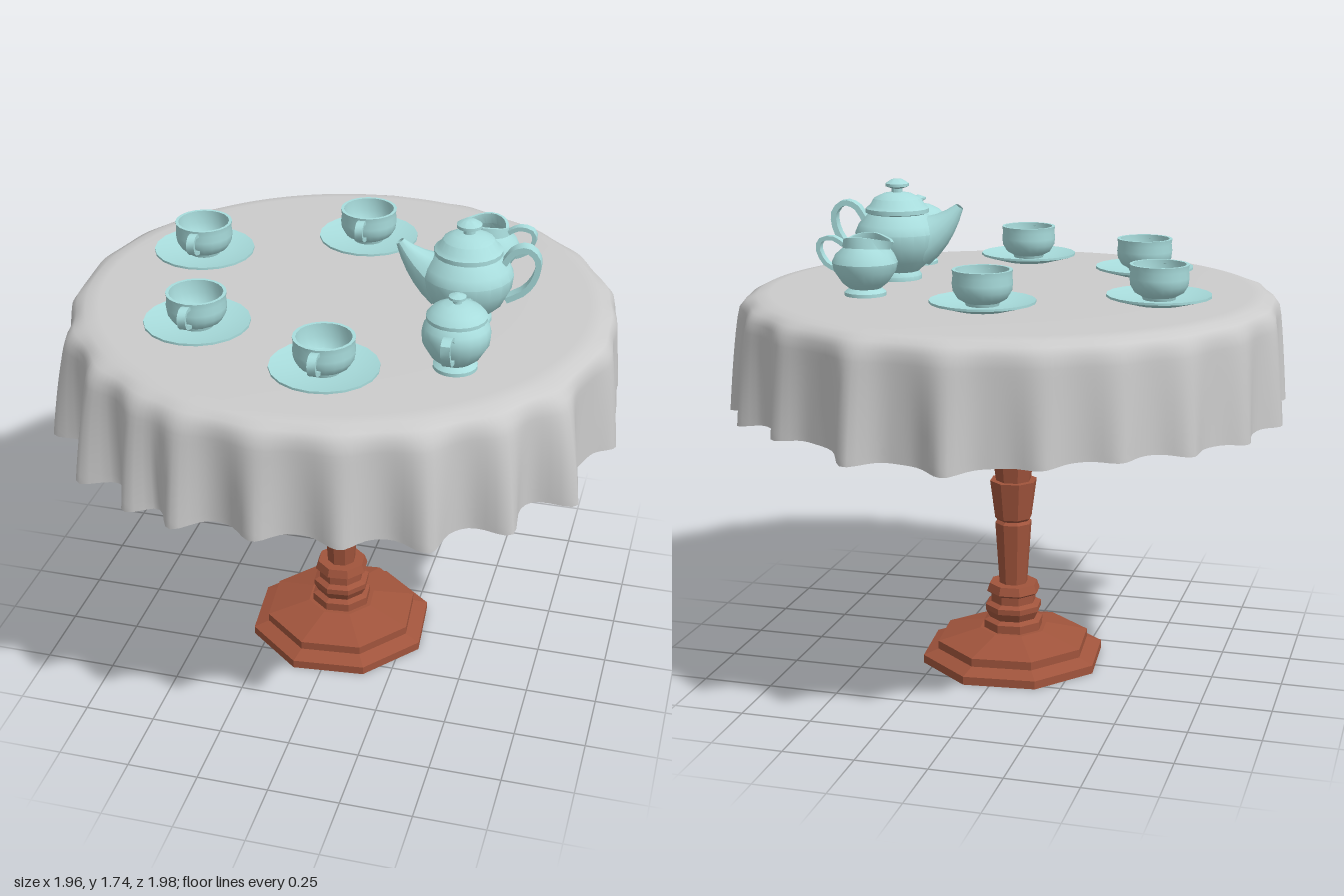
import * as THREE from 'three';
import { mergeVertices, toCreasedNormals } from 'three/addons/utils/BufferGeometryUtils.js';

const TOP = 1.385; // height of the covered table surface
const wood = new THREE.MeshStandardMaterial({ color: 0xa0543c });
const woodFlat = new THREE.MeshStandardMaterial({ color: 0xa0543c, flatShading: true });
const china = new THREE.MeshStandardMaterial({ color: 0xa8dcdc, side: THREE.DoubleSide });
const linen = new THREE.MeshStandardMaterial({ color: 0xcccccc, side: THREE.DoubleSide });

function mesh(name, geometry, material) {
  const m = new THREE.Mesh(geometry, material);
  m.name = name;
  return m;
}

function group(name, x, y, z, ...parts) {
  const g = new THREE.Group();
  g.name = name;
  g.position.set(x, y, z);
  g.add(...parts);
  return g;
}

const vectors = (pts) => pts.map(([x, y]) => new THREE.Vector2(x, y));

// Turned piece: profile of [radius, height], smooth with sharp creases
function turned(name, profile, sides = 20, material = china) {
  return mesh(name, toCreasedNormals(new THREE.LatheGeometry(vectors(profile), sides), 0.6), material);
}

// Flat strap handle following [x, y] points, given width in z
function strap(name, points, width, thickness, steps = 10) {
  const curve = new THREE.SplineCurve(vectors(points));
  const outer = [], inner = [];
  for (let i = 0; i <= steps; i++) {
    const p = curve.getPoint(i / steps), t = curve.getTangent(i / steps);
    const n = new THREE.Vector2(-t.y, t.x).multiplyScalar(thickness / 2);
    outer.push(p.clone().add(n));
    inner.unshift(p.clone().sub(n));
  }
  const geo = new THREE.ExtrudeGeometry(new THREE.Shape([...outer, ...inner]),
    { depth: width, bevelEnabled: false });
  geo.translate(0, 0, -width / 2);
  return mesh(name, toCreasedNormals(geo, 0.7), china);
}

// Octagonal pedestal, turned a few degrees: profile of [half width, height]
function pedestal() {
  const turn = 0.1;
  const k = 1 / Math.cos(Math.PI / 8 - turn);
  const profile = [
    [0, 0], [0.323, 0], [0.323, 0.03], [0.27, 0.05], [0.27, 0.08], [0.12, 0.12], [0.105, 0.12],
    [0.105, 0.15], [0.085, 0.16], [0.1, 0.19], [0.1, 0.21], [0.08, 0.22], [0.08, 0.25],
    [0.095, 0.26], [0.085, 0.29], [0.05, 0.29], [0.065, 0.52], [0.055, 0.53], [0.065, 0.54],
    [0.083, 0.68], [0.062, 0.68], [0.08, 0.82], [0.12, 0.98], [0.14, 1.05], [0.1, 1.07],
    [0.1, 1.1], [0.16, 1.15], [0.165, 1.2],
  ].map(([r, y]) => [r * k, y]);
  const geo = new THREE.LatheGeometry(vectors(profile), 8, Math.PI / 8 + turn);
  const m = mesh('pedestal', geo, woodFlat);
  m.position.set(-0.005, 0, 0.015);
  return m;
}

// Draped cloth: a turned sheet pushed out at each fold, deeper toward the hem
function tablecloth() {
  // Folds as [angle in degrees, reach from the centre]
  const folds = [[-93, 0.995], [-74, 1.015], [-54, 0.99], [-38, 1.0], [-21, 0.995], [-8, 0.96],
    [7, 0.99], [29, 1.04], [44, 1.02], [60, 1.01], [76, 0.985], [92, 0.99], [108, 1.015],
    [119, 1.02], [133, 1.04], [150, 1.03], [167, 0.975], [186, 0.985], [202, 0.975],
    [219, 0.98], [234, 0.97], [249, 0.97]];
  const valley = 0.932;
  const profile = [];
  for (let i = 0; i <= 12; i++) profile.push([valley + 0.008 * (1 - i / 12), 0.99 + 0.31 * i / 12]);
  profile.push([0.93, 1.335], [0.915, 1.362], [0.885, 1.378], [0.84, TOP], [0.5, TOP], [0, TOP]);
  const geo = new THREE.LatheGeometry(vectors(profile), 264);
  const pos = geo.attributes.position;
  for (let i = 0; i < pos.count; i++) {
    const x = pos.getX(i), y = pos.getY(i), z = pos.getZ(i);
    const r = Math.hypot(x, z);
    if (r < 0.86) continue;
    const a = Math.atan2(z, x) * 180 / Math.PI;
    const drop = THREE.MathUtils.clamp((1.375 - y) / 0.385, 0, 1);
    let push = -0.008;
    for (const [angle, reach] of folds) {
      const d = ((a - angle + 540) % 360 + 360) % 360 - 180;
      push += (reach - valley) * Math.exp(-((d / (5.2 - 1.4 * drop)) ** 2));
    }
    const s = (r + push * Math.pow(drop, 0.5)) / r;
    const hem = 0.012 * drop * drop * (Math.sin(a * Math.PI / 36) - push / 0.065);
    pos.setXYZ(i, x * s, y + hem, z * s);
  }
  geo.deleteAttribute('uv');
  geo.deleteAttribute('normal');
  const joined = mergeVertices(geo, 1e-4);
  joined.computeVertexNormals();
  return mesh('tablecloth', joined, linen);
}

// Cup on its saucer, handle toward the front
function cupAndSaucer(x, z) {
  const saucer = turned('saucer', [[0, 0.002], [0.09, 0.002], [0.178, 0.026], [0.178, 0.034],
    [0.1, 0.016], [0, 0.016]]);
  const cup = turned('cup', [[0, 0.016], [0.055, 0.016], [0.058, 0.026], [0.083, 0.04], [0.098, 0.065],
    [0.101, 0.09], [0.098, 0.115], [0.101, 0.135], [0.09, 0.135], [0.088, 0.09], [0.075, 0.055],
    [0.05, 0.036], [0, 0.036]]);
  const handle = strap('cupHandle', [[0.09, 0.117], [0.125, 0.125], [0.148, 0.105], [0.135, 0.07],
    [0.09, 0.053]], 0.028, 0.013);
  handle.rotation.y = -Math.PI / 2;
  return group('cupAndSaucer', x, TOP, z, saucer, cup, handle);
}

// Tapering spout bent along a curve
function spout() {
  const curve = new THREE.QuadraticBezierCurve3(new THREE.Vector3(-0.08, 0.14, 0),
    new THREE.Vector3(-0.165, 0.175, 0), new THREE.Vector3(-0.228, 0.265, 0));
  const geo = new THREE.CylinderGeometry(1, 1, 1, 12, 5, true);
  const pos = geo.attributes.position;
  for (let i = 0; i < pos.count; i++) {
    const t = pos.getY(i) + 0.5, r = 0.08 * (1 - t) + 0.015;
    const c = curve.getPoint(t), d = curve.getTangent(t);
    const u = pos.getX(i) * r;
    pos.setXYZ(i, c.x + d.y * u, c.y - d.x * u, pos.getZ(i) * r);
  }
  geo.computeVertexNormals();
  return mesh('spout', geo, china);
}

function teapot() {
  const body = turned('teapotBody', [[0, 0], [0.085, 0], [0.085, 0.015], [0.075, 0.03], [0.12, 0.07],
    [0.147, 0.125], [0.153, 0.17], [0.14, 0.2], [0.105, 0.235], [0.1, 0.24]]);
  const lid = turned('teapotLid', [[0.1, 0.235], [0.114, 0.24], [0.114, 0.255], [0.1, 0.265],
    [0.085, 0.29], [0.05, 0.307], [0.02, 0.312], [0.02, 0.325], [0.042, 0.333], [0.042, 0.343],
    [0.02, 0.357], [0, 0.359]]);
  const handle = strap('teapotHandle', [[0.12, 0.215], [0.15, 0.258], [0.195, 0.27], [0.23, 0.235],
    [0.225, 0.175], [0.19, 0.12], [0.13, 0.085]], 0.045, 0.02, 14);
  const pot = group('teapot', 0.445, TOP, 0.08, body, lid, spout(), handle);
  pot.rotation.y = 0.09;
  return pot;
}

function sugarBowl() {
  const body = turned('sugarBody', [[0, 0], [0.072, 0], [0.072, 0.012], [0.055, 0.025], [0.08, 0.045],
    [0.107, 0.09], [0.111, 0.125], [0.105, 0.15], [0.085, 0.172]]);
  const lid = turned('sugarLid', [[0.085, 0.17], [0.098, 0.173], [0.098, 0.185], [0.08, 0.205],
    [0.045, 0.222], [0.014, 0.227], [0.014, 0.235], [0.028, 0.242], [0.028, 0.25], [0, 0.26]]);
  const handles = [-1, 1].map((side) => {
    const h = strap('sugarHandle', [[0.095, 0.14], [0.13, 0.162], [0.168, 0.155], [0.16, 0.11],
      [0.13, 0.075], [0.09, 0.065]], 0.03, 0.014);
    h.rotation.y = side * Math.PI / 2;
    return h;
  });
  return group('sugarBowl', 0.48, TOP, 0.425, body, lid, ...handles);
}

// Open jug whose rim rises at the sides and is drawn out to a lip
function creamer() {
  const geo = new THREE.LatheGeometry(vectors([[0, 0], [0.072, 0], [0.072, 0.012], [0.055, 0.025],
    [0.08, 0.045], [0.107, 0.085], [0.113, 0.115], [0.1, 0.142], [0.076, 0.16], [0.072, 0.185],
    [0.062, 0.185], [0.064, 0.16], [0.09, 0.13], [0.09, 0.085], [0.06, 0.04], [0, 0.035]]), 20);
  const pos = geo.attributes.position;
  for (let i = 0; i < pos.count; i++) {
    const x = pos.getX(i), y = pos.getY(i), z = pos.getZ(i);
    const w = Math.max(0, (y - 0.14) / 0.045), a = Math.atan2(z, -x);
    const lip = Math.exp(-((a / 0.55) ** 2));
    pos.setXYZ(i, x - 0.035 * w * lip, y + w * 0.022 * Math.abs(Math.sin(a)), z);
  }
  const handle = strap('creamerHandle', [[0.075, 0.172], [0.11, 0.192], [0.155, 0.185], [0.165, 0.15],
    [0.14, 0.105], [0.1, 0.085]], 0.03, 0.015);
  return group('creamer', 0.445, TOP, -0.27,
    mesh('creamerBody', toCreasedNormals(geo, 0.6), china), handle);
}

export function createModel() {
  const model = new THREE.Group();
  model.name = 'teaTable';
  // Thick table top with a rounded lip hanging at its edge
  const tableTop = turned('tableTop', [[0, 1.195], [0.85, 1.195], [0.865, 1.175], [0.89, 1.165],
    [0.91, 1.175], [0.92, 1.2], [0.92, 1.325], [0.905, 1.355], [0.88, 1.37], [0, 1.37]], 64, wood);
  model.add(pedestal(), tableTop, tablecloth());
  for (const [x, z] of [[-0.02, -0.427], [-0.56, -0.167], [-0.4, 0.383], [0.09, 0.58]]) {
    model.add(cupAndSaucer(x, z));
  }
  model.add(teapot(), sugarBowl(), creamer());
  return model;
}
